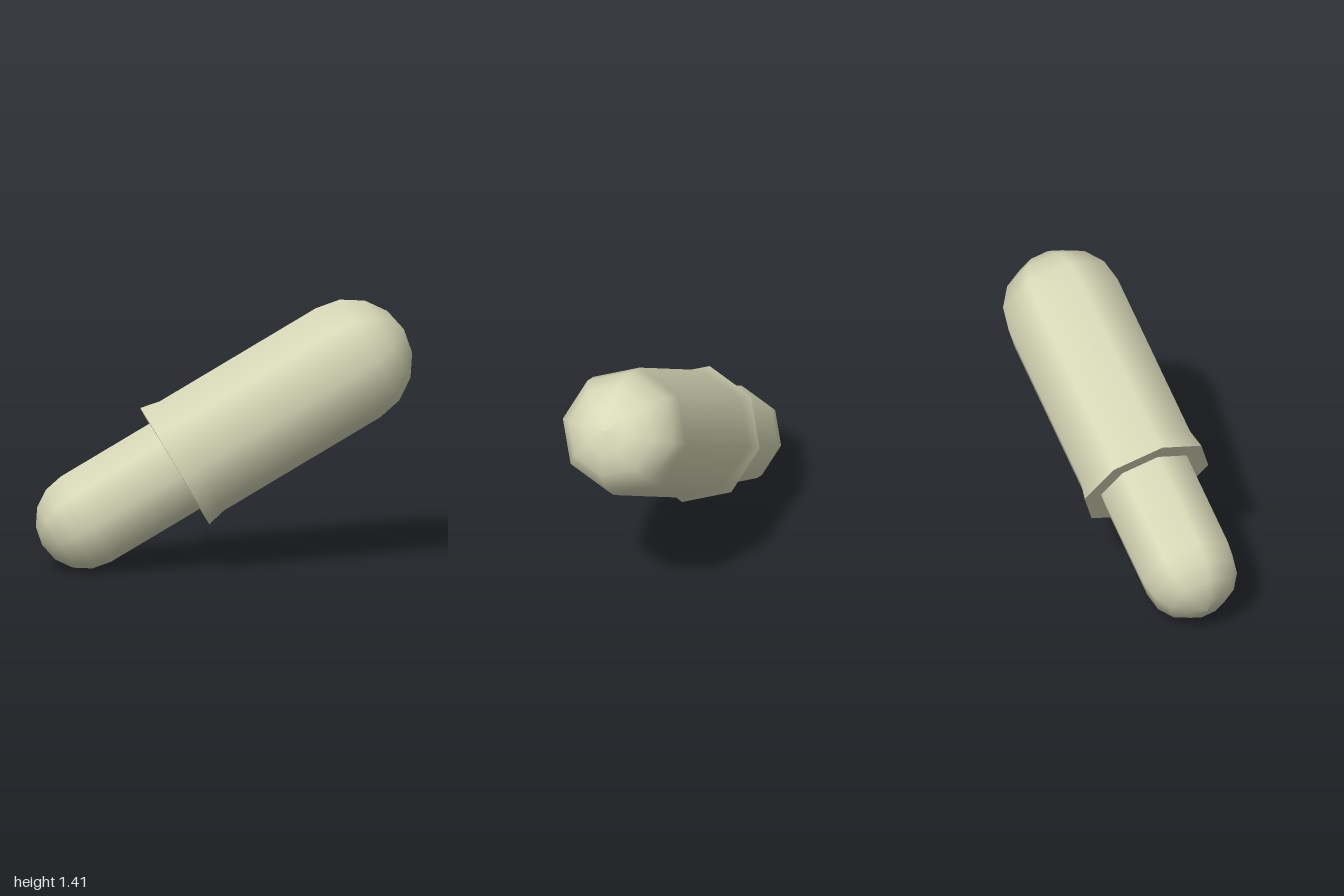
import * as THREE from 'three';

const SIDES = 8;
const DOME_STEPS = 4;

// Quarter-circle profile points; dir +1 closes upwards, -1 starts from a point below
function domePoints(radius, y, dir) {
  const pts = [];
  for (let i = 0; i <= DOME_STEPS; i++) {
    const a = (i / DOME_STEPS) * Math.PI / 2;
    const r = i === DOME_STEPS ? 0 : radius * Math.cos(a);
    pts.push(new THREE.Vector2(r, y + dir * radius * Math.sin(a)));
  }
  return dir > 0 ? pts : pts.reverse();
}

export function createModel() {
  const ivory = new THREE.MeshStandardMaterial({ color: 0xd8d9b8 });
  ivory.name = 'ivory';

  const model = new THREE.Group();
  model.name = 'roundedPin';

  const addLathe = (name, points) => {
    const mesh = new THREE.Mesh(new THREE.LatheGeometry(points, SIDES), ivory);
    mesh.name = name;
    model.add(mesh);
  };

  const rodR = 0.268, bodyR = 0.343, collarR = 0.366;

  // Slim rod with a domed end
  addLathe('rod', [...domePoints(rodR, -0.545, -1), new THREE.Vector2(rodR, 0)]);

  // Flat step between rod and body
  addLathe('collarFace', [new THREE.Vector2(rodR, 0), new THREE.Vector2(collarR, 0)]);

  // Wide body with a flared collar and a domed end
  addLathe('body', [
    new THREE.Vector2(collarR, 0),
    new THREE.Vector2(bodyR, 0.106),
    ...domePoints(bodyR, 1.063, 1),
  ]);

  // Lean the long axis to 30 degrees above horizontal
  model.rotation.z = -Math.PI / 3;
  model.position.set(-0.2625, 0.542, 0);

  const root = new THREE.Group();
  root.name = 'model';
  root.add(model);
  return root;
}
